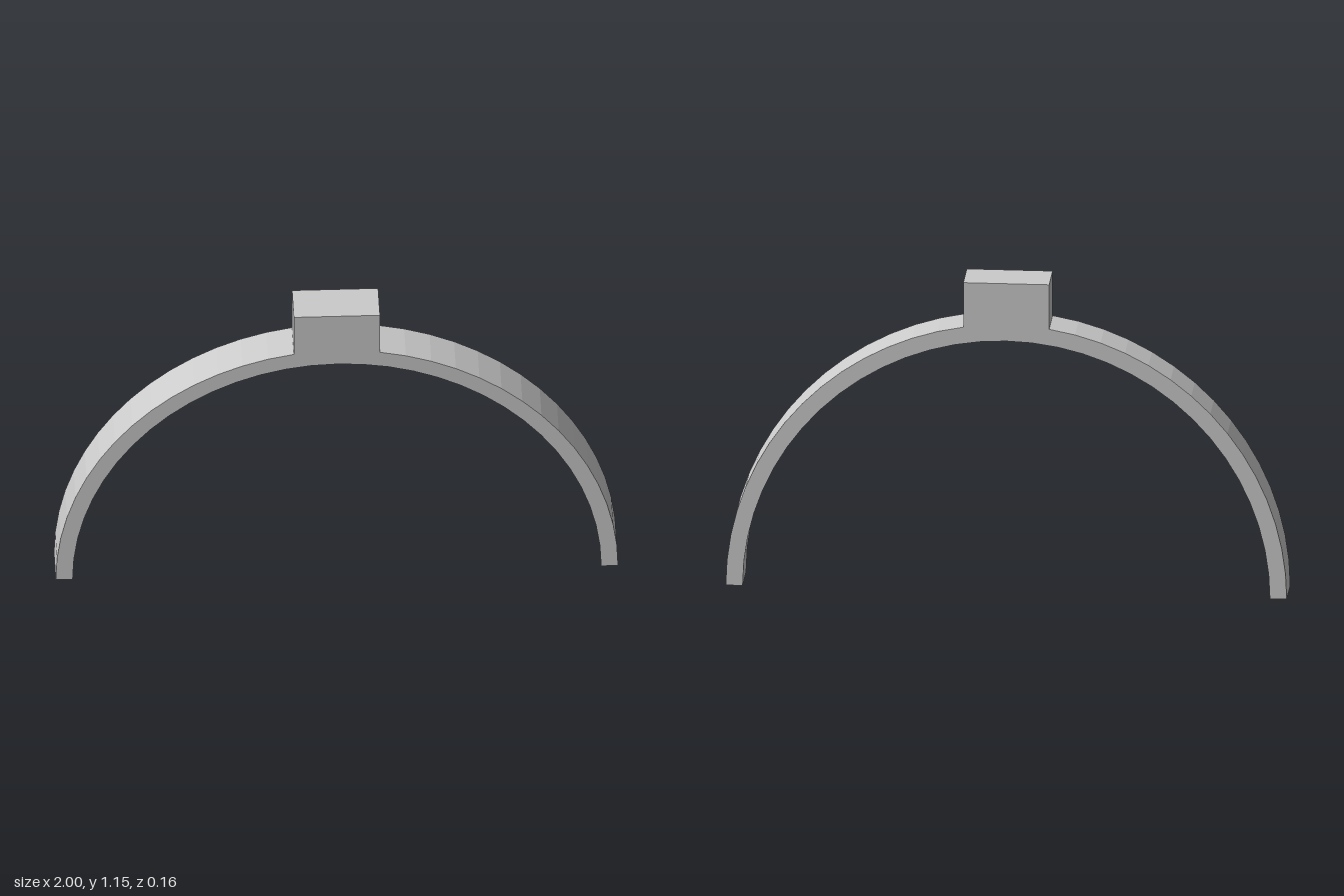
import * as THREE from 'three';

const OUTER = 1, INNER = 0.94, DEPTH = 0.156;
const BLOCK_HALF = 0.153, BLOCK_TOP = 1.155;

// Points along a circular arc about the origin
function arc(radius, from, to, segments) {
  return Array.from({ length: segments + 1 }, (_, i) => {
    const a = from + (to - from) * i / segments;
    return new THREE.Vector2(radius * Math.cos(a), radius * Math.sin(a));
  });
}

export function createModel() {
  const group = new THREE.Group();
  group.name = 'archBand';
  const material = new THREE.MeshStandardMaterial({ color: 0xcccccc, flatShading: true });

  // One outline: outer arc up to the block, the block, outer arc down, inner arc back
  const meet = Math.acos(BLOCK_HALF / OUTER);
  const outline = new THREE.Shape([
    ...arc(OUTER, 0, meet, 15),
    new THREE.Vector2(BLOCK_HALF, BLOCK_TOP),
    new THREE.Vector2(-BLOCK_HALF, BLOCK_TOP),
    ...arc(OUTER, Math.PI - meet, Math.PI, 15),
    ...arc(INNER, Math.PI, 0, 32),
  ]);

  // Arch with its top block, extruded evenly about z = 0
  const geometry = new THREE.ExtrudeGeometry(outline, { depth: DEPTH, bevelEnabled: false });
  geometry.translate(0, 0, -DEPTH / 2);
  const arch = new THREE.Mesh(geometry, material);
  arch.name = 'archWithTopBlock';
  group.add(arch);
  return group;
}
